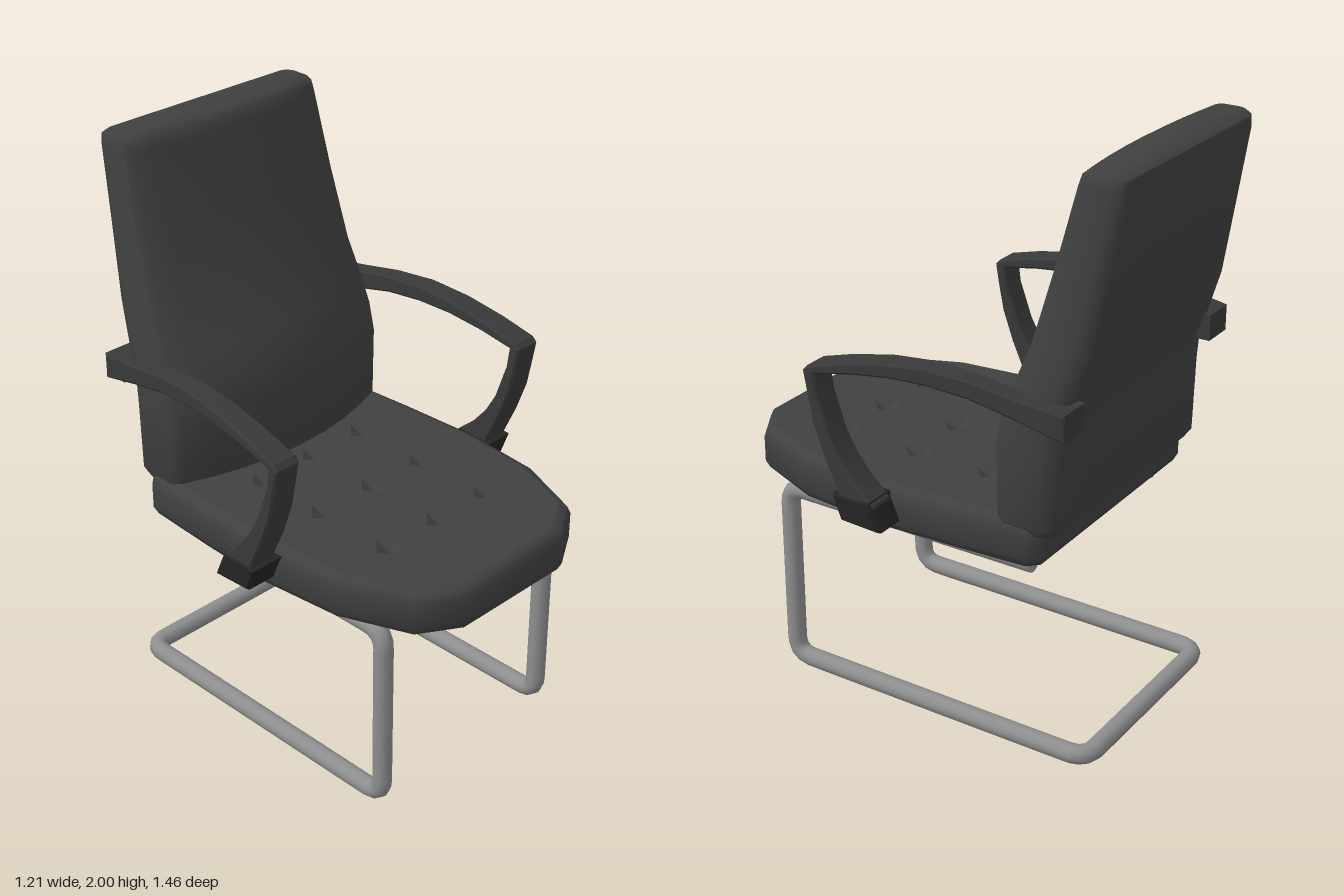
import * as THREE from 'three';
import { toCreasedNormals, mergeGeometries } from 'three/addons/utils/BufferGeometryUtils.js';

const upholstery = new THREE.MeshStandardMaterial({ name: 'upholstery', color: 0x404040 });
const armPlastic = new THREE.MeshStandardMaterial({ name: 'armPlastic', color: 0x393939 });
const clampPlastic = new THREE.MeshStandardMaterial({ name: 'clampPlastic', color: 0x242424 });
const metal = new THREE.MeshStandardMaterial({ name: 'metal', color: 0x8e8e8e });

function part(name, geometry, material, parent) {
  const mesh = new THREE.Mesh(geometry, material);
  mesh.name = name;
  parent.add(mesh);
  return mesh;
}

// Skin over rings of [x, y, z] stacked upward; points run front -> +x -> back -> -x.
function loft(rings, capTop, crease) {
  const n = rings[0].length;
  const pos = rings.flat(2);
  const index = [];
  for (let i = 0; i < rings.length - 1; i++) {
    for (let j = 0; j < n; j++) {
      const a = i * n + j, b = i * n + (j + 1) % n;
      index.push(a, b, b + n, a, b + n, a + n);
    }
  }
  const cap = (ring, start, up) => {
    const c = pos.length / 3;
    for (let k = 0; k < 3; k++) pos.push(ring.reduce((s, p) => s + p[k], 0) / n);
    for (let j = 0; j < n; j++) {
      const a = start + j, b = start + (j + 1) % n;
      index.push(c, up ? a : b, up ? b : a);
    }
  };
  cap(rings[0], 0, false);
  if (capTop) cap(rings[rings.length - 1], (rings.length - 1) * n, true);
  const g = new THREE.BufferGeometry();
  g.setAttribute('position', new THREE.Float32BufferAttribute(pos, 3));
  g.setIndex(index);
  return toCreasedNormals(g, crease);
}

// Seat cushion with a faceted outline and nine sunken tufts
function addSeat(parent) {
  const seat = new THREE.Group();
  seat.name = 'seat';
  parent.add(seat);
  const half = [[0.23, 0.73], [0.37, 0.645], [0.47, 0.4], [0.5, 0.1], [0.49, -0.2], [0.475, -0.46], [0.44, -0.495]];
  const outline = [...half, ...half.map(([x, z]) => [-x, z]).reverse()];
  const ring = (y, inset) => outline.map(([x, z]) =>
    [x * (1 - inset / 0.5), y, 0.12 + (z - 0.12) * (1 - inset / 0.61)]);
  const rows = [[0.71, 0.035], [0.72, 0.012], [0.745, 0], [0.835, 0], [0.86, 0.01], [0.872, 0.035]];
  const rings = rows.map(([y, inset]) => ring(y, inset));
  part('seatCushion', loft(rings, false, 0.8), upholstery, seat);

  const r = 0.055;
  const top = new THREE.Shape(rings[rings.length - 1].map(([x, , z]) => new THREE.Vector2(x, -z)));
  const tufts = [];
  for (const x of [-0.23, 0, 0.23]) {
    for (const z of [-0.17, 0.11, 0.4]) {
      top.holes.push(new THREE.Path([[r, 0], [0, r], [-r, 0], [0, -r]].map(
        ([dx, dz]) => new THREE.Vector2(x + dx, -z + dz))));
      const pit = new THREE.ConeGeometry(r, 0.025, 4, 1, true).toNonIndexed();
      pit.scale(1, -1, 1).translate(x, 0.872 - 0.0125, z);
      // the mirrored cone shows its inside
      pit.computeVertexNormals();
      tufts.push(pit);
    }
  }
  const panel = new THREE.ShapeGeometry(top).rotateX(-Math.PI / 2).translate(0, 0.872, 0);
  part('seatTop', panel, upholstery, seat);
  part('tufts', mergeGeometries(tufts), upholstery, seat);
}

// Backrest: leaning, with a bulging front and rounded rear corners
function addBackrest(parent) {
  // u across the width, v from front to rear
  const side = [[0.25, 0], [0.5, 0], [0.75, 0], [0.96, 0], [1, 0.1], [1, 0.72], [0.97, 0.93], [0.92, 1], [0.5, 1.0]];
  const section = [[0, 0], ...side, [0, 1], ...side.map(([u, v]) => [-u, v]).reverse()];
  // y, half width, front z, rear z, bulge
  const rows = [
    [0.83, 0.45, -0.27, -0.53, 0.1],
    [0.86, 0.468, -0.25, -0.55, 0.1],
    [1.12, 0.47, -0.247, -0.555, 0.1],
    [1.22, 0.468, -0.268, -0.563, 0.1],
    [1.32, 0.46, -0.312, -0.597, 0.09],
    [1.45, 0.445, -0.38, -0.64, 0.07],
    [1.7, 0.427, -0.465, -0.685, 0.05],
    [1.95, 0.412, -0.545, -0.728, 0.03],
    [1.985, 0.409, -0.556, -0.727, 0.03],
    [2.0, 0.4, -0.58, -0.708, 0.025],
  ];
  const rings = rows.map(([y, w, zf, zb, bulge]) => section.map(([u, v]) =>
    [0.008 + u * w, y, zf + (zb - zf) * v - bulge * u * u * (1 - v)]));
  part('backrest', loft(rings, true, 0.75), upholstery, parent);
}

// Cantilever frame: one bent tube running from seat to floor and back
function addFrame(parent) {
  const r = 0.033, x = 0.385;
  const half = [[x, 0.69, -0.43], [x, 0.69, 0.53], [x, r + 0.003, 0.53], [x, r + 0.003, -0.632]];
  const pts = [...half, ...half.map(([px, y, z]) => [-px, y, z]).reverse()].map((p) => new THREE.Vector3(...p));
  const path = new THREE.CurvePath();
  let from = pts[0];
  for (let i = 1; i < pts.length - 1; i++) {
    const toward = (q) => pts[i].clone().add(q.clone().sub(pts[i]).setLength(0.065));
    const a = toward(pts[i - 1]), b = toward(pts[i + 1]);
    path.add(new THREE.LineCurve3(from, a));
    path.add(new THREE.QuadraticBezierCurve3(a, pts[i], b));
    from = b;
  }
  path.add(new THREE.LineCurve3(from, pts[pts.length - 1]));
  part('frameTube', new THREE.TubeGeometry(path, 240, r, 12), metal, parent);
  for (const s of [-1, 1]) {
    const cap = part('tubeEnd', new THREE.CircleGeometry(r, 12), metal, parent);
    cap.position.set(s * x, 0.69, -0.43);
    cap.rotation.y = Math.PI;
  }
}

// Extrudes a side profile of [z, y] points, placing each vertex by place(f, y, z), f = 0 inside to 1 outside
function sideExtrude(profile, place) {
  const shape = new THREE.Shape(profile.map((p) => new THREE.Vector2(...p)));
  const g = new THREE.ExtrudeGeometry(shape, {
    depth: 0.84, bevelThickness: 0.08, bevelSize: 0.007, bevelOffset: -0.007, bevelSegments: 1,
  });
  g.rotateY(-Math.PI / 2);
  const p = g.attributes.position;
  for (let i = 0; i < p.count; i++) p.setX(i, -place(0.08 - p.getX(i), p.getY(i), p.getZ(i)));
  g.deleteAttribute('uv');
  return toCreasedNormals(g, 0.5);
}

// Armrest on the right side; mirrored for the left
function addArm(parent, name, mirror) {
  const arm = new THREE.Group();
  arm.name = name;
  arm.scale.x = mirror;
  parent.add(arm);
  const profile = [
    [-0.61, 1.2], [-0.45, 1.24], [-0.29, 1.275], [-0.15, 1.287], [-0.02, 1.285], [0.12, 1.268], [0.245, 1.243],
    [0.235, 1.17], [0.19, 1.04], [0.15, 0.97], [0.1, 0.91], [0.03, 0.845], [0.03, 0.8],
    [0.15, 0.8], [0.165, 0.86], [0.215, 0.97], [0.255, 1.08], [0.275, 1.18], [0.287, 1.25],
    [0.27, 1.268], [0.15, 1.302], [0, 1.332], [-0.15, 1.345], [-0.3, 1.335], [-0.47, 1.308], [-0.61, 1.29],
  ];
  part('armrest', sideExtrude(profile, (f, y, z) => {
    const t = THREE.MathUtils.smoothstep(y, 1.12, 1.2) * (0.287 - z) / 0.9;
    return THREE.MathUtils.lerp(0.5 + 0.1 * f, 0.467 + 0.053 * f, t);
  }), armPlastic, arm);
  // Clamp joining the arm to the seat side
  const clamp = [[0.0, 0.76], [0.15, 0.765], [0.183, 0.852], [0.04, 0.857]];
  part('armClamp', sideExtrude(clamp, (f) => 0.47 + 0.137 * f), clampPlastic, arm);
  // Bracket hooking behind the backrest
  const bracket = part('armBracket', new THREE.BoxGeometry(0.1, 0.09, 0.07), armPlastic, arm);
  bracket.position.set(-0.45, 1.245, -0.575);
}

export function createModel() {
  const chair = new THREE.Group();
  chair.name = 'chair';
  addSeat(chair);
  addBackrest(chair);
  addFrame(chair);
  addArm(chair, 'rightArm', 1);
  addArm(chair, 'leftArm', -1);
  return chair;
}
